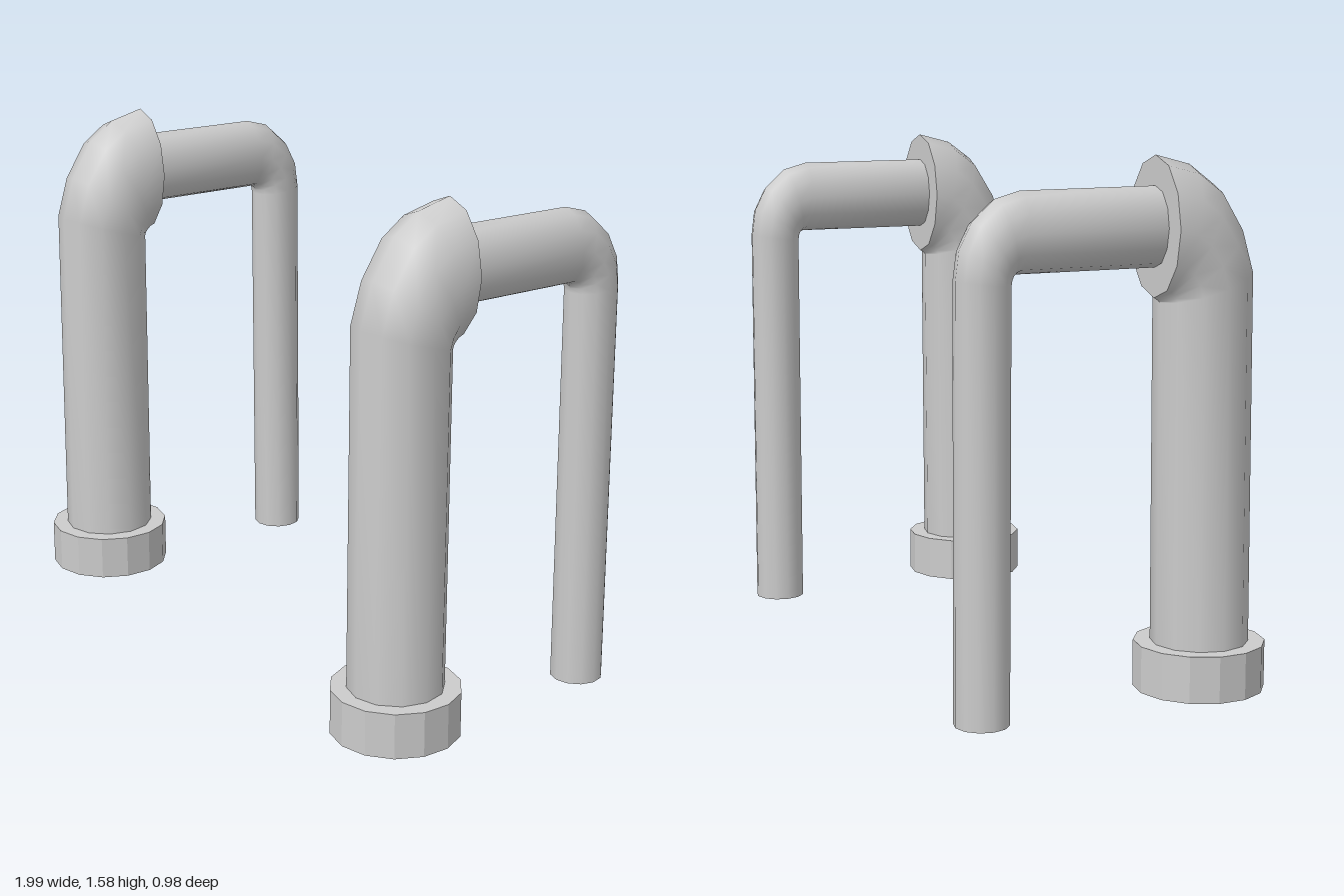
import * as THREE from 'three';

const SIDES = 12;
const smooth = new THREE.MeshStandardMaterial({ color: 0xcccccc, side: THREE.DoubleSide });
const faceted = new THREE.MeshStandardMaterial({ color: 0xcccccc, side: THREE.DoubleSide, flatShading: true });

// Open pipe through elliptical rings: [outer z, outer y, inner z, inner y]
function bentPipe(rings, radius) {
  const positions = [], index = [];
  rings.forEach(([oz, oy, iz, iy], r) => {
    for (let j = 0; j < SIDES; j++) {
      const a = (j / SIDES) * Math.PI * 2, c = Math.cos(a) / 2;
      positions.push(radius * Math.sin(a), (oy + iy) / 2 + (oy - iy) * c, (oz + iz) / 2 + (oz - iz) * c);
      if (r === 0) continue;
      const k = (j + 1) % SIDES, lo = (r - 1) * SIDES, hi = r * SIDES;
      index.push(lo + j, lo + k, hi + j, lo + k, hi + k, hi + j);
    }
  });
  const g = new THREE.BufferGeometry();
  g.setAttribute('position', new THREE.Float32BufferAttribute(positions, 3));
  g.setIndex(index);
  g.computeVertexNormals();
  return g;
}

function createPipe() {
  const pipe = new THREE.Group();
  const add = (name, geometry, material) => {
    const mesh = new THREE.Mesh(geometry, material);
    mesh.name = name;
    pipe.add(mesh);
    return mesh;
  };

  // Wide riser bending backwards at the top
  add('widePipe', bentPipe([
    [0.44, 0.155, 0.153, 0.155],
    [0.432, 1.245, 0.148, 1.16],
    [0.393, 1.375, 0.146, 1.163],
    [0.32, 1.49, 0.142, 1.166],
    [0.24, 1.548, 0.137, 1.17],
    [0.13, 1.576, 0.13, 1.174],
  ], 0.143), smooth);

  // Flat end of the wide pipe
  const cap = add('widePipeEnd', new THREE.CircleGeometry(1, SIDES).rotateY(Math.PI).scale(0.143, 0.201, 1), smooth);
  cap.position.set(0, 1.375, 0.13);

  // Thin pipe running back, then down to the ground
  add('thinPipe', bentPipe([
    [0.13, 1.49, 0.13, 1.26],
    [-0.295, 1.488, -0.308, 1.26],
    [-0.372, 1.467, -0.317, 1.256],
    [-0.438, 1.408, -0.323, 1.25],
    [-0.477, 1.332, -0.326, 1.243],
    [-0.488, 1.25, -0.328, 1.23],
    [-0.49, 0, -0.33, 0],
  ], 0.08), smooth);

  // Faceted collar, open underneath
  const profile = [[0.193, 0.022], [0.193, 0.16], [0.137, 0.16]].map(p => new THREE.Vector2(...p));
  add('collar', new THREE.LatheGeometry(profile, 14), faceted).position.z = 0.296;
  return pipe;
}

export function createModel() {
  const model = new THREE.Group();
  model.name = 'pipePair';
  for (const side of [-1, 1]) {
    const pipe = createPipe();
    pipe.name = side > 0 ? 'leftPipe' : 'rightPipe';
    pipe.position.x = side * 0.807;
    model.add(pipe);
  }
  return model;
}
